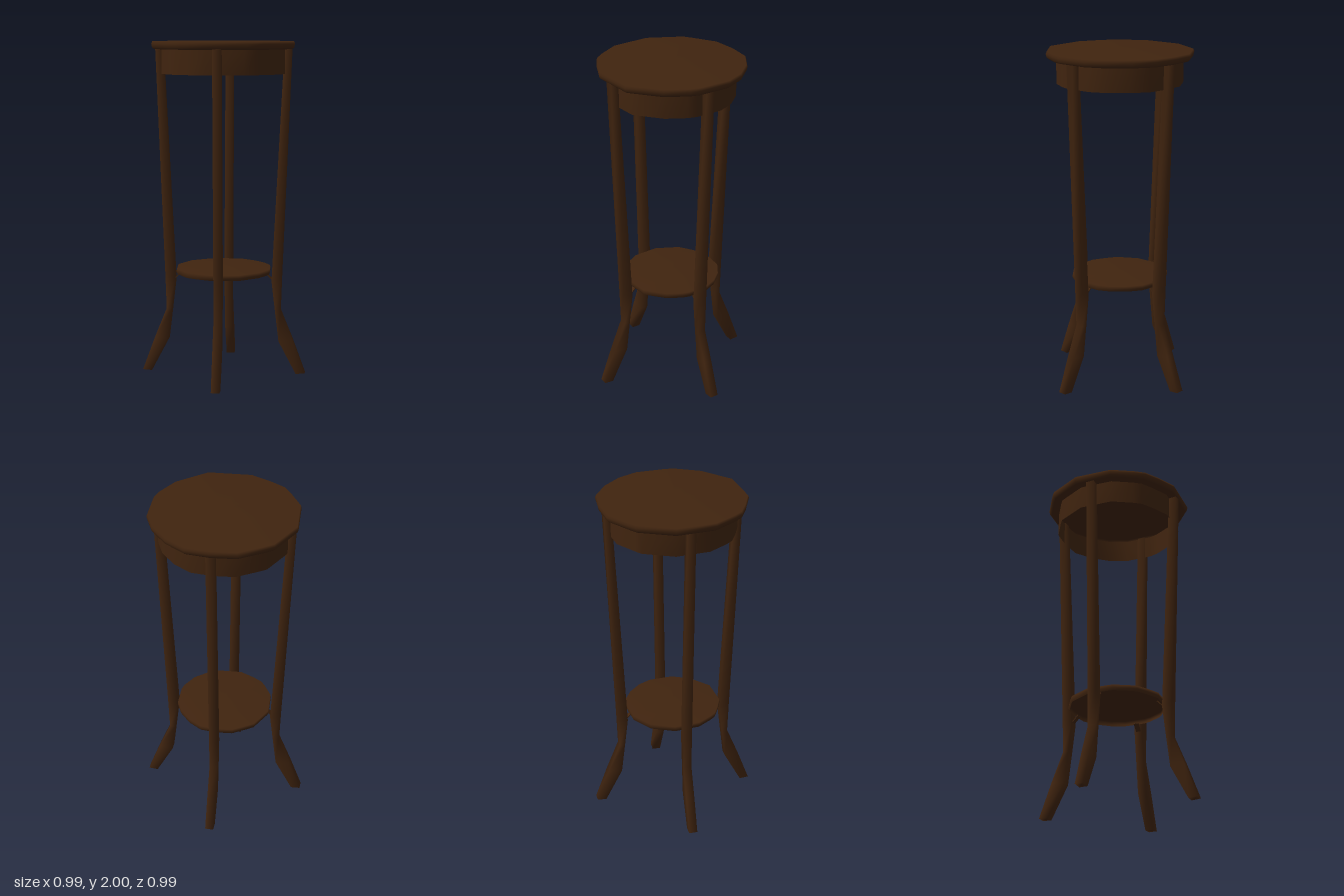
import * as THREE from 'three';

// Lofts rings (bottom to top, counterclockwise from above) into a smooth skin,
// with an optional cap at either end.
function loft(rings, { bottom = false, top = false } = {}) {
  const n = rings[0].length;
  const points = rings.flat();
  const index = [];
  for (let i = 0; i < rings.length - 1; i++) {
    for (let j = 0; j < n; j++) {
      const k = (j + 1) % n;
      const a = i * n + j, b = i * n + k, c = a + n, d = b + n;
      index.push(a, b, d, a, d, c);
    }
  }
  const cap = (start, up) => {
    const ring = points.slice(start, start + n);
    const centre = points.push([0, 1, 2].map((axis) => ring.reduce((sum, p) => sum + p[axis] / n, 0))) - 1;
    for (let j = 0; j < n; j++) {
      const a = start + j, b = start + (j + 1) % n;
      index.push(centre, up ? a : b, up ? b : a);
    }
  };
  if (bottom) cap(0, false);
  if (top) cap((rings.length - 1) * n, true);
  const geometry = new THREE.BufferGeometry();
  geometry.setAttribute('position', new THREE.Float32BufferAttribute(points.flat(), 3));
  geometry.setIndex(index);
  geometry.computeVertexNormals();
  return geometry;
}

// Hand-cut, slightly uneven round outline (x, z)
const OUTLINE = [
  [0, -0.428], [0.14, -0.417], [0.26, -0.343], [0.36, -0.235], [0.415, -0.12], [0.423, 0.07],
  [0.408, 0.13], [0.34, 0.26], [0.26, 0.33], [0.175, 0.403], [-0.08, 0.422], [-0.2, 0.37],
  [-0.29, 0.32], [-0.33, 0.27], [-0.41, 0.14], [-0.427, -0.09], [-0.33, -0.29], [-0.29, -0.32],
  [-0.15, -0.412],
].reverse();
const outlineRing = (y, s) => OUTLINE.map(([x, z]) => [x * s, y, z * s]);

// Square leg section: [fraction from inner to outer face, side]
const SECTION = [[1, 1], [1, -1], [0, -1], [0, 1]];
// Leg stations: inner radius, inner y, outer radius, outer y
const STATIONS = [
  [0.44, 0, 0.495, 0.004],
  [0.335, 0.2, 0.419, 0.21],
  [0.312, 0.39, 0.346, 0.39],
  [0.291, 0.57, 0.353, 0.6],
  [0.36, 1.96, 0.405, 1.96],
];

export function createModel() {
  const model = new THREE.Group();
  model.name = 'pedestalTable';
  const wood = new THREE.MeshStandardMaterial({ color: 0x40240f, side: THREE.DoubleSide });
  wood.name = 'dark brown wood';
  const add = (name, geometry, parent = model) => {
    const mesh = new THREE.Mesh(geometry, wood);
    mesh.name = name;
    parent.add(mesh);
    return mesh;
  };

  // Top with a rounded rim and overhang, hollow beneath, and the open apron
  add('tableTop', loft([
    outlineRing(1.953, 0.86), outlineRing(1.955, 0.965), outlineRing(1.965, 0.99),
    outlineRing(1.985, 1), outlineRing(2, 0.985),
  ], { top: true }));
  add('apron', loft([outlineRing(1.81, 0.86), outlineRing(1.953, 0.86)]));

  // Lower shelf, a shallow tray turned upside down
  add('shelf', loft([
    outlineRing(0.615, 0.655), outlineRing(0.63, 0.67), outlineRing(0.648, 0.665),
  ], { top: true }));

  // Four splayed legs, each with a thin bracket under the shelf
  const legGeometry = loft(STATIONS.map(([xi, yi, xo, yo]) =>
    SECTION.map(([t, w]) => [xi + (xo - xi) * t, yi + (yo - yi) * t, w * 0.025])),
  { bottom: true, top: true });
  const bracketGeometry = new THREE.BoxGeometry(0.06, 0.006, 0.03);
  ['left', 'back', 'right', 'front'].forEach((side, i) => {
    const group = new THREE.Group();
    group.name = side + 'LegGroup';
    group.rotation.y = i * Math.PI / 2;
    add(side + 'Leg', legGeometry, group);
    const bracket = add(side + 'Bracket', bracketGeometry, group);
    bracket.position.set(0.277, 0.594, 0);
    bracket.rotation.z = -0.8;
    model.add(group);
  });
  return model;
}
